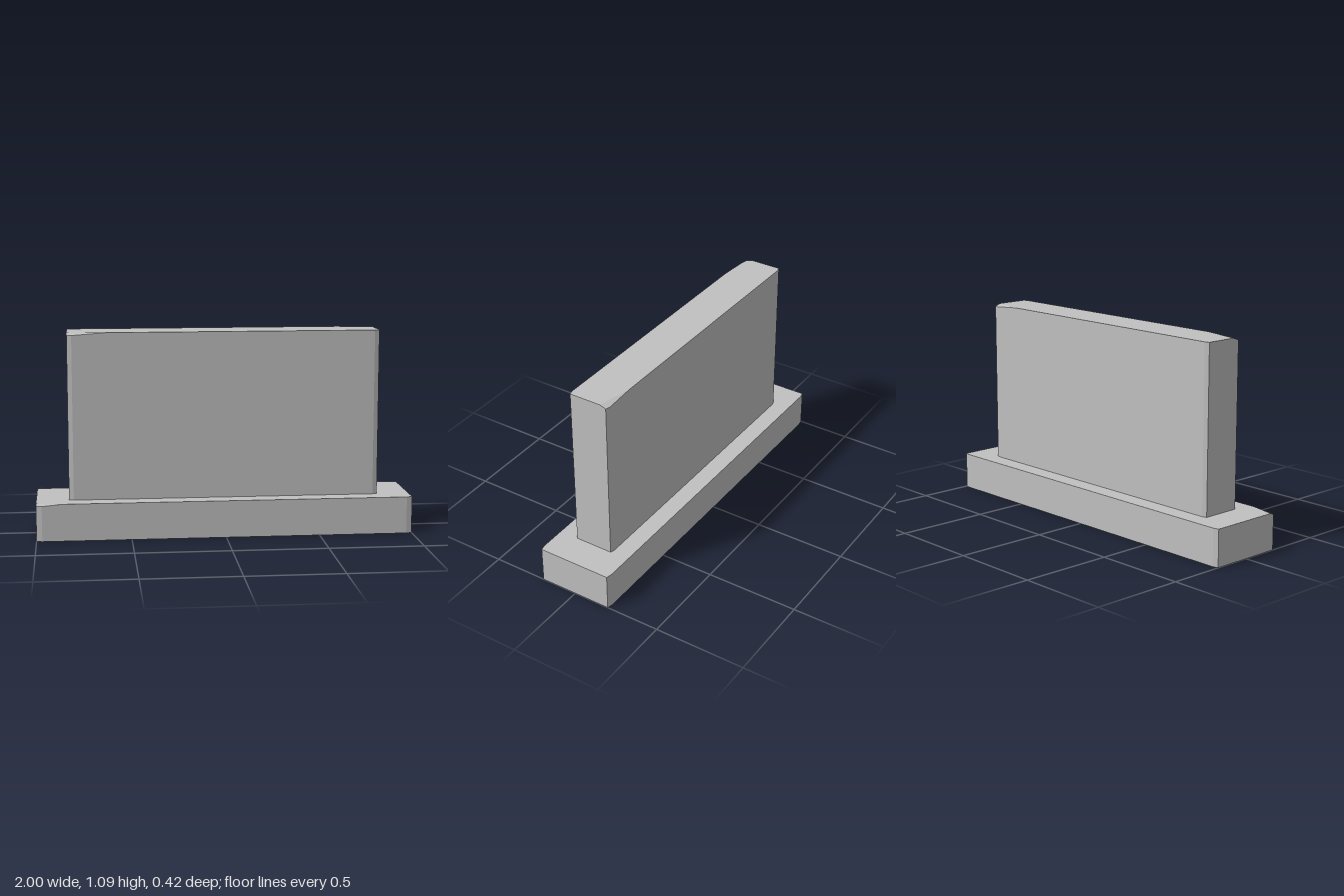
import * as THREE from 'three';
import { ConvexGeometry } from 'three/addons/geometries/ConvexGeometry.js';

// Block with bevelled upright corners; chips are shallow sloped cuts on top corners.
// Chip: sx, sz = corner signs, l = length along x, w = length along z, d = depth.
function chippedBlock({ hx, hz, y0, y1, bx, bz, chips }) {
  const points = [];
  for (const sx of [-1, 1]) {
    for (const sz of [-1, 1]) {
      const chip = chips.find((c) => c.sx === sx && c.sz === sz);
      for (const [u, v] of [[bx, 0], [0, bz]]) {
        const x = sx * (hx - u), z = sz * (hz - v);
        const drop = chip ? chip.d * (1 - u / chip.l - v / chip.w) : 0;
        points.push(new THREE.Vector3(x, y0, z), new THREE.Vector3(x, y1 - drop, z));
      }
      if (chip) {
        // where the cut meets the top edges
        points.push(
          new THREE.Vector3(sx * (hx - chip.l), y1, sz * hz),
          new THREE.Vector3(sx * hx, y1, sz * (hz - chip.w)));
      }
    }
  }
  return new ConvexGeometry(points);
}

export function createModel() {
  const group = new THREE.Group();
  group.name = 'stoneSlabOnPlinth';
  const stone = new THREE.MeshStandardMaterial({ color: 0xc0c0c0 });
  stone.name = 'grey stone';

  const add = (name, spec) => {
    const mesh = new THREE.Mesh(chippedBlock(spec), stone);
    mesh.name = name;
    group.add(mesh);
  };

  // Plinth
  add('plinth', {
    hx: 1, hz: 0.21, y0: 0, y1: 0.198, bx: 0.03, bz: 0.007,
    chips: [{ sx: -1, sz: 1, l: 0.14, w: 0.03, d: 0.012 }],
  });

  // Upright slab with two chipped corners
  add('slab', {
    hx: 0.827, hz: 0.112, y0: 0.198, y1: 1.085, bx: 0.025, bz: 0.007,
    chips: [
      { sx: -1, sz: 1, l: 0.205, w: 0.045, d: 0.015 },
      { sx: 1, sz: -1, l: 0.19, w: 0.042, d: 0.014 },
    ],
  });

  return group;
}
